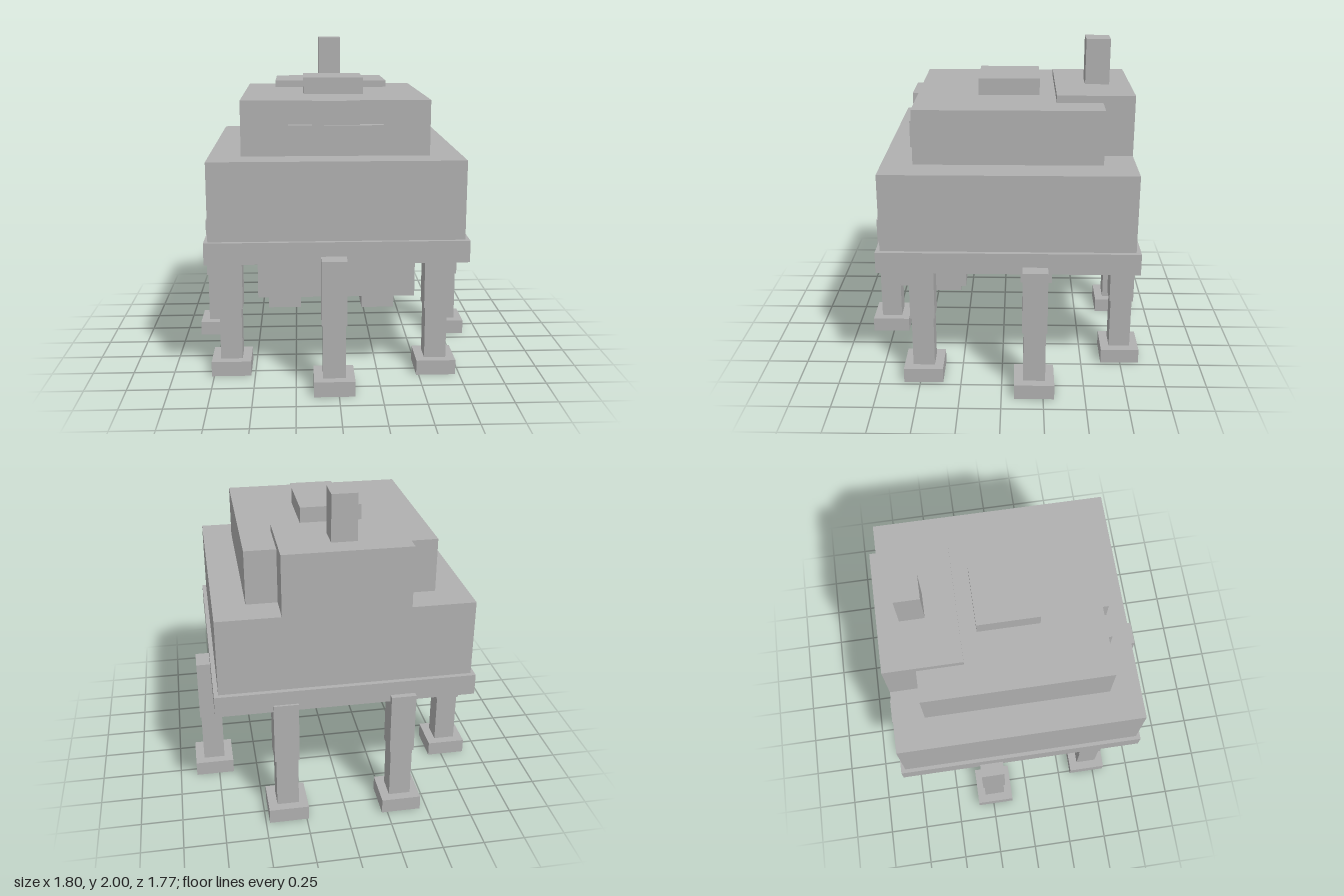
import * as THREE from 'three';

const grey = new THREE.MeshStandardMaterial({ color: 0xb0b0b0 });
grey.name = 'plain grey';

// Box given by its extents along each axis
function box(name, [x0, x1], [y0, y1], [z0, z1]) {
  const mesh = new THREE.Mesh(new THREE.BoxGeometry(x1 - x0, y1 - y0, z1 - z0), grey);
  mesh.position.set((x0 + x1) / 2, (y0 + y1) / 2, (z0 + z1) / 2);
  mesh.name = name;
  return mesh;
}

// Leg of three stacked square blocks: wide foot, slim shin, thicker thigh
function leg(name, x, z) {
  const group = new THREE.Group();
  group.name = name;
  const block = (part, half, y0, y1) =>
    group.add(box(part, [-half, half], [y0, y1], [-half, half]));
  block('foot', 0.12, 0, 0.092);
  block('shin', 0.066, 0.092, 0.415);
  block('thigh', 0.074, 0.415, 0.8);
  group.position.set(x, 0, z);
  return group;
}

export function createModel() {
  const model = new THREE.Group();
  model.name = 'walkingFortress';

  model.add(
    // Hull
    box('deck', [-0.775, 0.765], [0.757, 0.886], [-0.807, 0.733]),
    box('hull', [-0.752, 0.739], [0.886, 1.352], [-0.779, 0.707]),
    box('bellyBox', [-0.47, 0.457], [0.525, 0.746], [0.228, 0.636]),
    // Superstructure
    box('cabin', [-0.562, 0.549], [1.352, 1.678], [-0.59, 0.522]),
    box('rearTower', [-0.376, 0.365], [1.352, 1.721], [-0.779, -0.317]),
    box('roofHatch', [-0.192, 0.179], [1.678, 1.779], [-0.22, 0.15]),
    box('chimney', [-0.081, 0.068], [1.721, 2], [-0.65, -0.502]),
    // Front plates
    box('visor', [-0.285, 0.271], [1.373, 1.538], [0.522, 0.568]),
    box('browPlate', [-0.145, 0.133], [1.538, 1.677], [0.522, 0.557])
  );

  // Ring of seven legs
  const legs = [
    ['frontLeg', -0.026, 0.766],
    ['frontLeftLeg', 0.605, 0.48],
    ['frontRightLeg', -0.645, 0.452],
    ['leftLeg', 0.776, -0.196],
    ['rightLeg', -0.782, -0.234],
    ['backLeftLeg', 0.357, -0.746],
    ['backRightLeg', -0.336, -0.766],
  ];
  for (const spec of legs) model.add(leg(...spec));

  return model;
}
